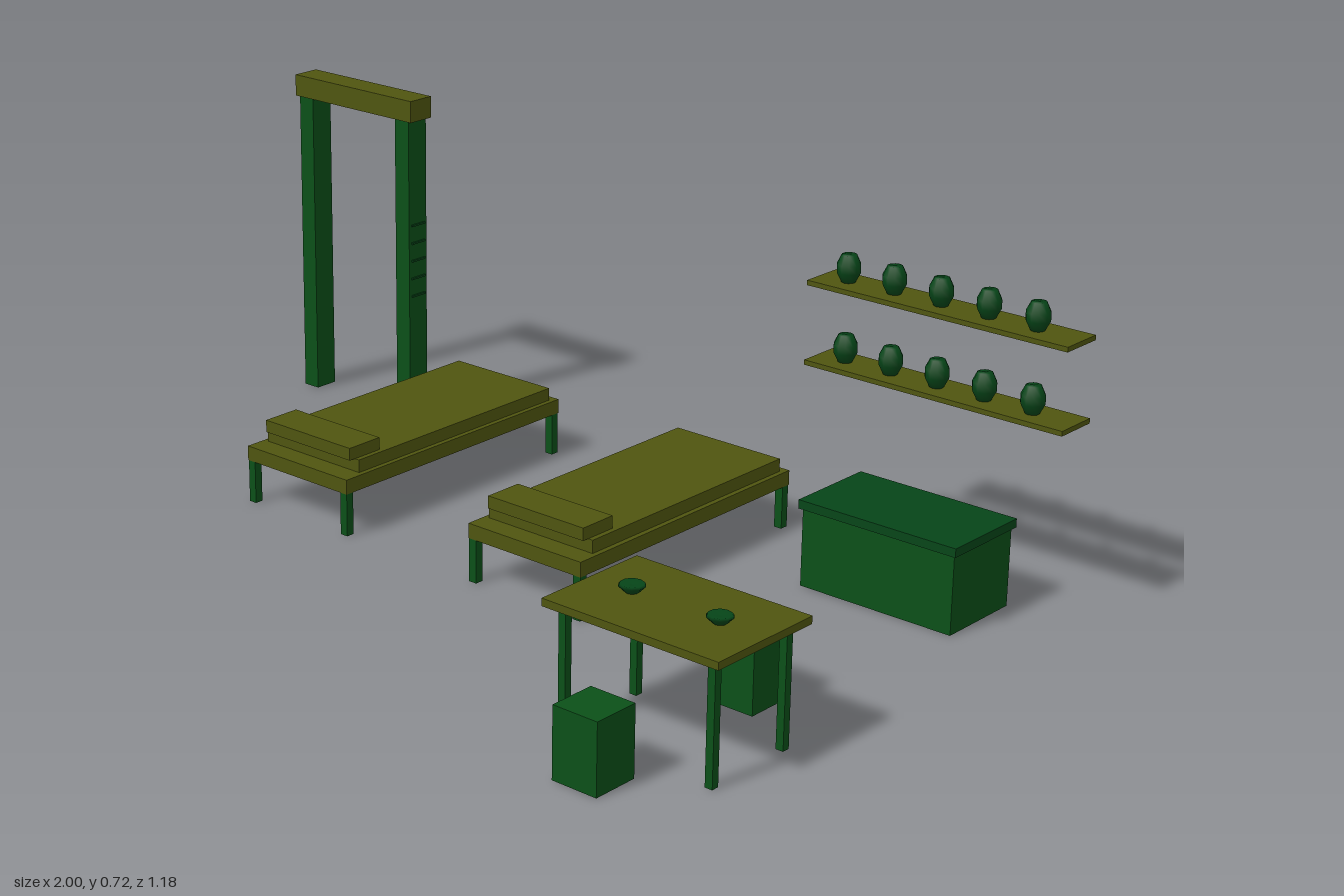
import * as THREE from 'three';

const olive = new THREE.MeshStandardMaterial({ color: 0x4f5510 });
const green = new THREE.MeshStandardMaterial({ color: 0x0b5018 });
const darkGreen = new THREE.MeshStandardMaterial({ color: 0x064518 });

// Box given by its limits on each axis
function box(parent, name, [x0, x1], [y0, y1], [z0, z1], material) {
  const mesh = new THREE.Mesh(new THREE.BoxGeometry(x1 - x0, y1 - y0, z1 - z0), material);
  mesh.position.set((x0 + x1) / 2, (y0 + y1) / 2, (z0 + z1) / 2);
  mesh.name = name;
  parent.add(mesh);
}

// Small turned vessel from a [radius, height] profile
function vessel(parent, name, profile, x, y, z) {
  const points = profile.map(([r, h]) => new THREE.Vector2(r, h));
  const mesh = new THREE.Mesh(new THREE.LatheGeometry(points, 10), darkGreen);
  mesh.position.set(x, y, z);
  mesh.name = name;
  parent.add(mesh);
}

// Four square legs around a centre
function legs(parent, cx, cz, dx, dz, height, w) {
  for (const sx of [-1, 1]) for (const sz of [-1, 1]) {
    const x = cx + sx * dx, z = cz + sz * dz;
    box(parent, 'leg', [x - w / 2, x + w / 2], [0, height], [z - w / 2, z + w / 2], green);
  }
}

function group(parent, name) {
  const g = new THREE.Group();
  g.name = name;
  parent.add(g);
  return g;
}

function bed(parent, cx) {
  const g = group(parent, 'bed');
  const span = (half) => [cx - half, cx + half];
  // Hollow frame: board on top, rails around the edge
  box(g, 'bedBoard', span(0.142), [0.11, 0.121], [-0.573, 0.067], olive);
  for (const s of [-1, 1]) {
    const x = cx + s * 0.137;
    box(g, 'sideRail', [x - 0.005, x + 0.005], [0.09, 0.11], [-0.573, 0.067], olive);
  }
  box(g, 'footRail', span(0.132), [0.09, 0.11], [-0.573, -0.563], olive);
  box(g, 'headRail', span(0.132), [0.09, 0.11], [0.057, 0.067], olive);
  legs(g, cx, -0.253, 0.132, 0.31, 0.11, 0.018);
  box(g, 'mattress', span(0.131), [0.121, 0.148], [-0.555, 0.02], olive);
  box(g, 'pillow', span(0.12), [0.148, 0.174], [-0.05, 0.035], olive);
}

export function createModel() {
  const model = new THREE.Group();

  // Door frame with notches cut along one post
  const door = group(model, 'doorFrame');
  box(door, 'lintel', [-1, -0.65], [0.673, 0.72], [-0.573, -0.51], olive);
  for (const x of [-0.99, -0.70]) {
    box(door, 'post', [x, x + 0.04], [0, 0.673], [-0.567, -0.513], green);
  }
  for (let i = 0; i < 5; i++) {
    const y = 0.28 + i * 0.04;
    box(door, 'notchMark', [-0.661, -0.656], [y - 0.002, y + 0.002], [-0.56, -0.52], darkGreen);
  }

  bed(model, -0.422);
  bed(model, 0.192);

  // Two shelves, each with a row of jars
  const jar = [[0, 0], [0.014, 0], [0.024, 0.02], [0.024, 0.036], [0.015, 0.055], [0, 0.055]];
  for (const y of [0.385, 0.547]) {
    const shelf = group(model, 'shelf');
    box(shelf, 'shelfBoard', [0.416, 1], [y, y + 0.01], [-0.59, -0.496], olive);
    for (let i = 0; i < 5; i++) {
      vessel(shelf, 'jar', jar, 0.48 + i * 0.1065, y + 0.01, -0.542);
    }
  }

  // Chest below the shelves
  const chest = group(model, 'chest');
  box(chest, 'chestBody', [0.534, 0.88], [0, 0.16], [-0.538, -0.35], green);
  box(chest, 'chestLid', [0.527, 0.886], [0.16, 0.178], [-0.545, -0.344], darkGreen);

  // Table with two bowls
  const table = group(model, 'table');
  box(table, 'tableTop', [0.58, 0.965], [0.233, 0.248], [0.203, 0.457], olive);
  legs(table, 0.772, 0.331, 0.163, 0.097, 0.233, 0.016);
  const bowl = [[0, 0], [0.013, 0], [0.025, 0.012], [0.022, 0.016], [0, 0.013]];
  for (const x of [0.676, 0.868]) vessel(table, 'bowl', bowl, x, 0.248, 0.331);

  // Block stools on either side of the table
  for (const z of [0.12, 0.54]) {
    box(model, 'stool', [0.722, 0.82], [0, 0.14], [z - 0.049, z + 0.049], green);
  }

  return model;
}
